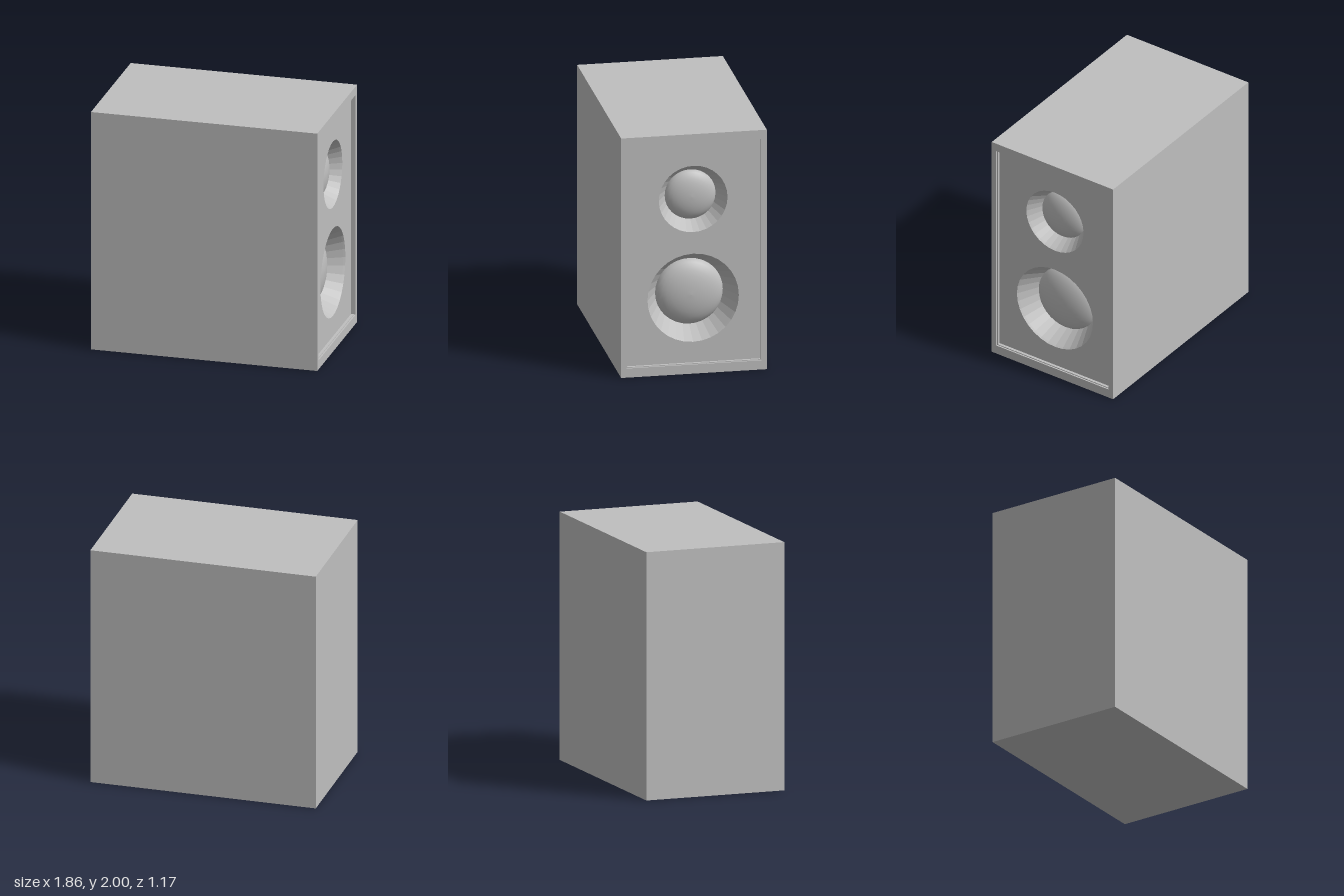
import * as THREE from 'three';

const W = 1.86, H = 2, D = 1.174;      // cabinet size along x, y, z
const FRONT = W / 2;                   // speaker side faces +x
const PANEL = FRONT - 0.035;           // recessed baffle surface
const CORE = 0.6;                      // end of the solid body

const grey = new THREE.MeshStandardMaterial({ color: 0xbfbfbf });
grey.name = 'cabinet grey';

// Rectangle drawn in (z, y), centred on z = 0
function rect(PathType, halfWidth, y0, y1) {
  const p = new PathType();
  p.moveTo(-halfWidth, y0);
  p.lineTo(halfWidth, y0);
  p.lineTo(halfWidth, y1);
  p.lineTo(-halfWidth, y1);
  p.closePath();
  return p;
}

// Plate spanning x0..x1 with the given holes
function plate(holes, x0, x1) {
  const shape = rect(THREE.Shape, D / 2, 0, H);
  shape.holes.push(...holes);
  const g = new THREE.ExtrudeGeometry(shape, { depth: x1 - x0, bevelEnabled: false, curveSegments: 16 });
  return g.rotateY(Math.PI / 2).translate(x0, 0, 0);
}

// Surface of revolution about the x axis at height y
function turned(points, y, faceted) {
  let g = new THREE.LatheGeometry(points.map(([r, h]) => new THREE.Vector2(r, h)), 32);
  if (faceted) {
    g = g.toNonIndexed();
    g.computeVertexNormals();
  }
  return g.rotateZ(-Math.PI / 2).translate(PANEL, y, 0);
}

export function createModel() {
  const group = new THREE.Group();
  group.name = 'loudspeaker';
  const add = (name, geometry) => {
    const mesh = new THREE.Mesh(geometry, grey);
    mesh.name = name;
    group.add(mesh);
  };

  const drivers = [
    { name: 'tweeter', y: 1.447, rim: 0.277, inner: 0.205, depth: 0.13, bulge: 0.085 },
    { name: 'woofer', y: 0.622, rim: 0.368, inner: 0.273, depth: 0.18, bulge: 0.11 },
  ];

  // Solid body
  const body = new THREE.BoxGeometry(CORE + FRONT, H, D);
  body.translate((CORE - FRONT) / 2, H / 2, 0);
  add('cabinetBody', body);

  // Baffle with driver openings
  const openings = drivers.map(({ y, rim }) => {
    const p = new THREE.Path();
    p.absarc(0, y, rim, 0, Math.PI * 2, true);
    return p;
  });
  add('baffle', plate(openings, CORE, PANEL));

  // Raised border with a fine stepped lip
  add('borderLip', plate([rect(THREE.Path, 0.537, 0.083, 1.92)], PANEL, FRONT - 0.012));
  add('border', plate([rect(THREE.Path, 0.545, 0.076, 1.929)], FRONT - 0.012, FRONT));

  // Conical surrounds and domes
  for (const { name, y, rim, inner, depth, bulge } of drivers) {
    add(name + 'Cone', turned([
      [rim, 0], [rim - 0.009, -0.015], [inner, -depth], [inner - 0.02, -depth],
    ], y, true));
    const dome = [];
    for (let i = 0; i <= 8; i++) {
      const a = (i / 8) * Math.PI / 2;
      dome.push([i === 8 ? 0 : inner * Math.cos(a), -depth + bulge * Math.sin(a)]);
    }
    add(name + 'Dome', turned(dome, y, false));
  }

  return group;
}
